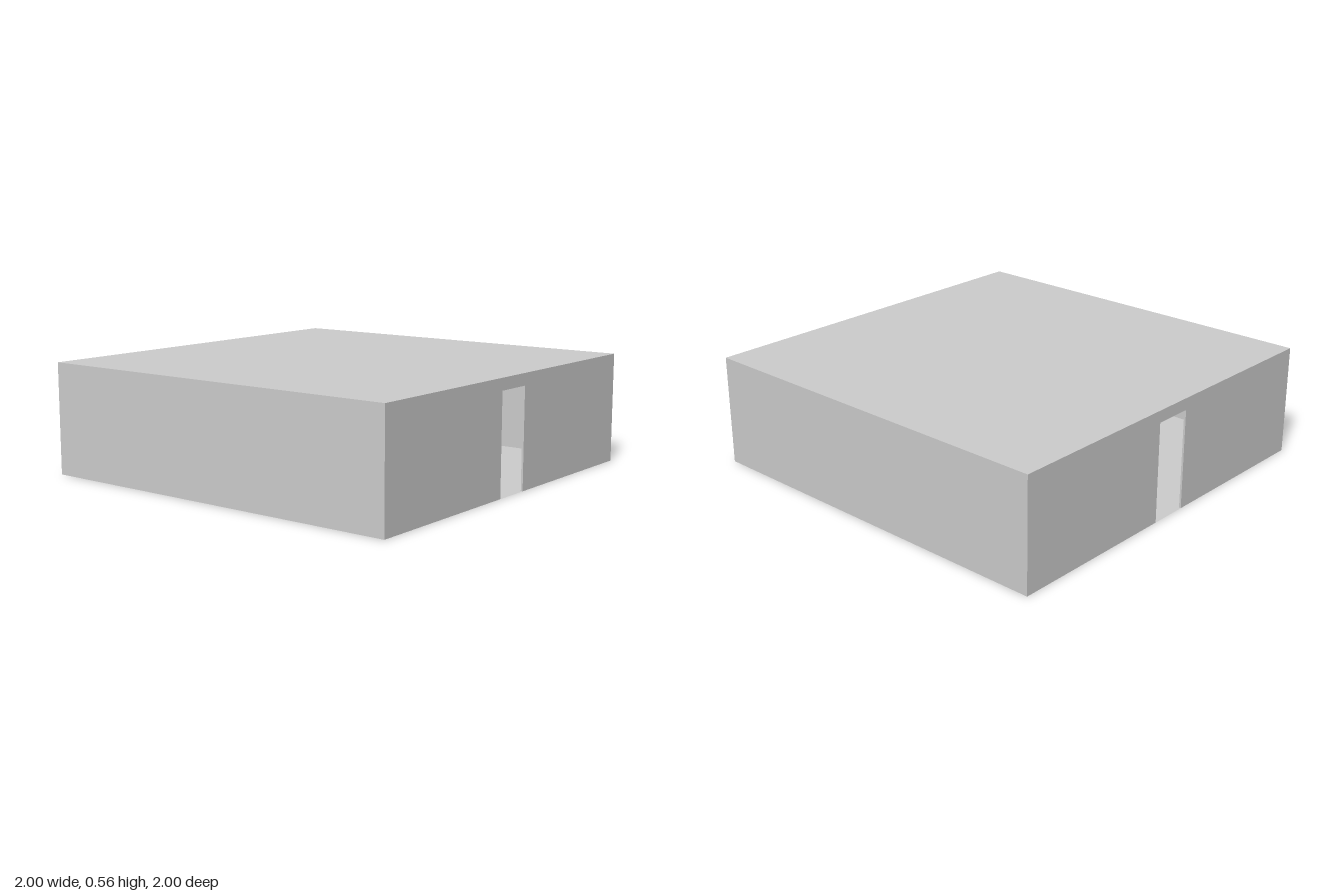
import * as THREE from 'three';

const HEIGHT = 0.565;
const THICK = 0.01;
const DOOR_W = 0.2;
const DOOR_H = 0.505;
const HATCH = 0.29;

export function createModel() {
  const room = new THREE.Group();
  room.name = 'room';
  const material = new THREE.MeshStandardMaterial({ color: 0xcccccc, flatShading: true, side: THREE.DoubleSide });

  const add = (name, geometry, x, y, z) => {
    const mesh = new THREE.Mesh(geometry, material);
    mesh.name = name;
    mesh.position.set(x, y, z);
    room.add(mesh);
    return mesh;
  };

  // Front and back walls, each with a doorway open down to the floor
  const d = DOOR_W / 2;
  const wall = new THREE.Shape([
    [-1, 0], [-d, 0], [-d, DOOR_H], [d, DOOR_H], [d, 0], [1, 0], [1, HEIGHT], [-1, HEIGHT],
  ].map(([x, y]) => new THREE.Vector2(x, y)));
  const wallGeometry = new THREE.ExtrudeGeometry(wall, { depth: THICK, bevelEnabled: false });
  add('frontWall', wallGeometry, 0, 0, 1 - THICK);
  add('backWall', wallGeometry, 0, 0, -1);

  // Plain side walls between them
  const sideGeometry = new THREE.BoxGeometry(THICK, HEIGHT, 2 - 2 * THICK);
  for (const [name, side] of [['leftWall', 1], ['rightWall', -1]]) {
    add(name, sideGeometry, side * (1 - THICK / 2), HEIGHT / 2, 0);
  }

  // Flat ceiling, flush with the top of the walls
  add('ceiling', new THREE.BoxGeometry(2, THICK, 2), 0, HEIGHT - THICK / 2, 0);

  // Thin floor with a square hatch opening in the middle
  const square = (size) => [[-1, -1], [1, -1], [1, 1], [-1, 1]]
    .map(([x, y]) => new THREE.Vector2(x * size / 2, y * size / 2));
  const floorShape = new THREE.Shape(square(2));
  floorShape.holes.push(new THREE.Path(square(HATCH).reverse()));
  add('floor', new THREE.ShapeGeometry(floorShape), 0, 0, 0).rotation.x = -Math.PI / 2;

  return room;
}
